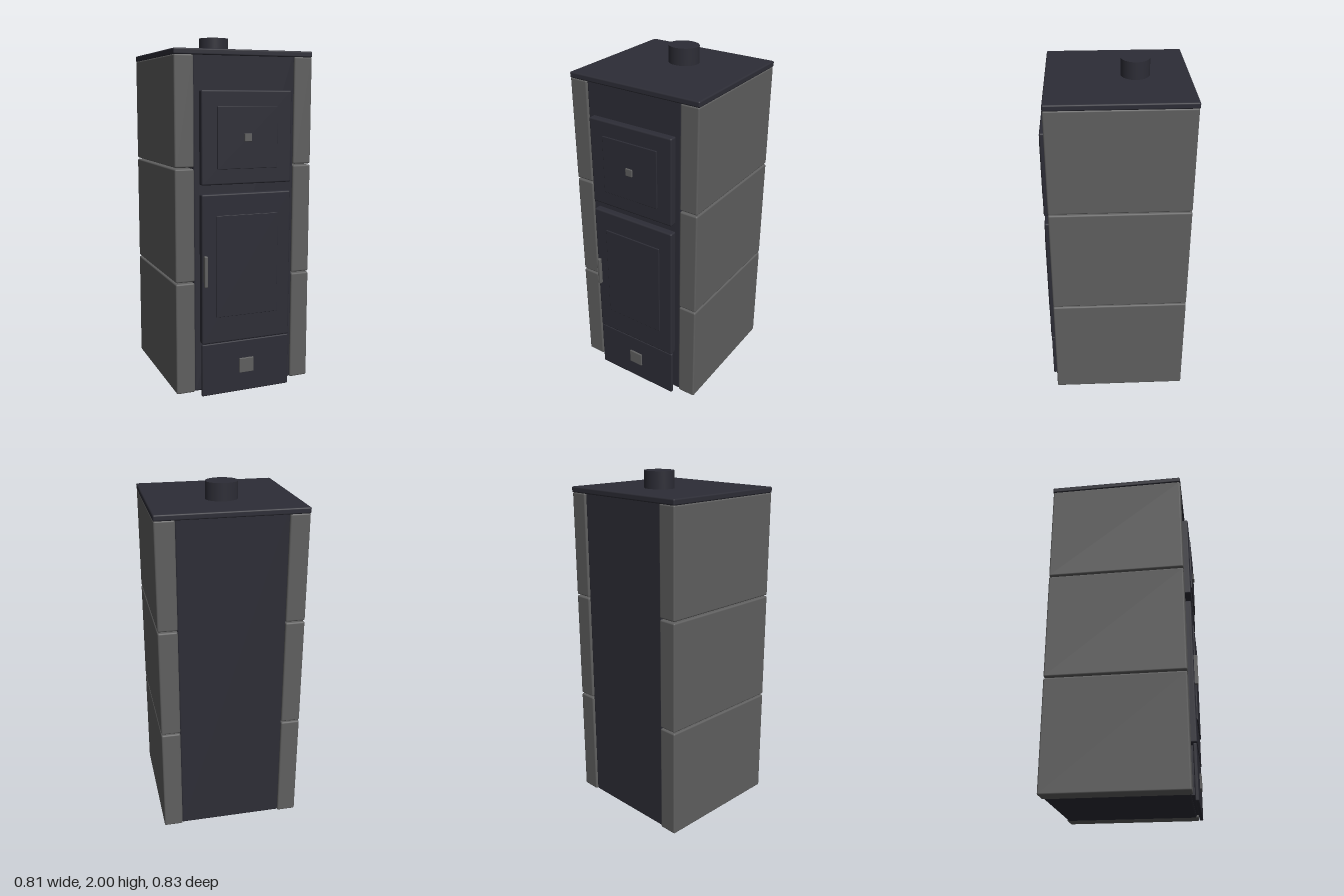
import * as THREE from 'three';
import { RoundedBoxGeometry } from 'three/addons/geometries/RoundedBoxGeometry.js';

export function createModel() {
  const model = new THREE.Group();
  model.name = 'stove';

  const iron = new THREE.MeshStandardMaterial({ color: 0x2d2d36 });
  iron.name = 'dark iron';
  const stone = new THREE.MeshStandardMaterial({ color: 0x5f5f5f });
  stone.name = 'grey stone';

  // Softly rounded block given by its [min, max] extents on each axis
  function block(name, material, [x0, x1], [y0, y1], [z0, z1], radius) {
    const geometry = new RoundedBoxGeometry(x1 - x0, y1 - y0, z1 - z0, 2, radius);
    const mesh = new THREE.Mesh(geometry, material);
    mesh.name = name;
    mesh.position.set((x0 + x1) / 2, (y0 + y1) / 2, (z0 + z1) / 2);
    model.add(mesh);
    return mesh;
  }

  // Firebox core and top plate
  block('core', iron, [-0.297, 0.297], [0.022, 1.89], [-0.4, 0.353], 0.01);
  block('topPlate', iron, [-0.405, 0.405], [1.872, 1.905], [-0.413, 0.363], 0.008);

  // Three stacked stone slabs on each side
  const courses = [[0.022, 0.65], [0.657, 1.276], [1.283, 1.874]];
  for (const side of [-1, 1]) {
    const x = side < 0 ? [-0.403, -0.295] : [0.295, 0.403];
    courses.forEach((y, i) =>
      block(`${side < 0 ? 'right' : 'left'}Slab${i + 1}`, stone, x, y, [-0.41, 0.362], 0.009));
  }

  // Oven door with raised panel and square knob
  block('ovenDoor', iron, [-0.264, 0.264], [1.187, 1.691], [0.348, 0.393], 0.009);
  block('ovenPanel', iron, [-0.176, 0.176], [1.271, 1.605], [0.38, 0.4], 0.003);
  block('ovenKnob', stone, [-0.021, 0.021], [1.418, 1.46], [0.39, 0.409], 0.003);

  // Fire door with raised panel and upright handle
  block('fireDoor', iron, [-0.264, 0.264], [0.302, 1.138], [0.348, 0.393], 0.009);
  block('firePanel', iron, [-0.184, 0.184], [0.451, 1.02], [0.38, 0.4], 0.003);
  block('fireHandle', stone, [-0.255, -0.236], [0.63, 0.803], [0.385, 0.413], 0.005);

  // Ash drawer with square pull
  block('ashDrawer', iron, [-0.264, 0.264], [0, 0.3], [0.37, 0.39], 0.006);
  block('drawerMount', iron, [-0.25, 0.25], [0.03, 0.29], [0.34, 0.375], 0.003);
  block('drawerPull', stone, [-0.043, 0.043], [0.111, 0.195], [0.38, 0.4], 0.003);

  // Flue collar
  const flue = new THREE.Mesh(new THREE.CylinderGeometry(1, 1, 0.11, 40), iron);
  flue.name = 'flue';
  flue.scale.set(0.088, 1, 0.079);
  flue.position.set(0, 1.945, -0.12);
  model.add(flue);

  return model;
}
